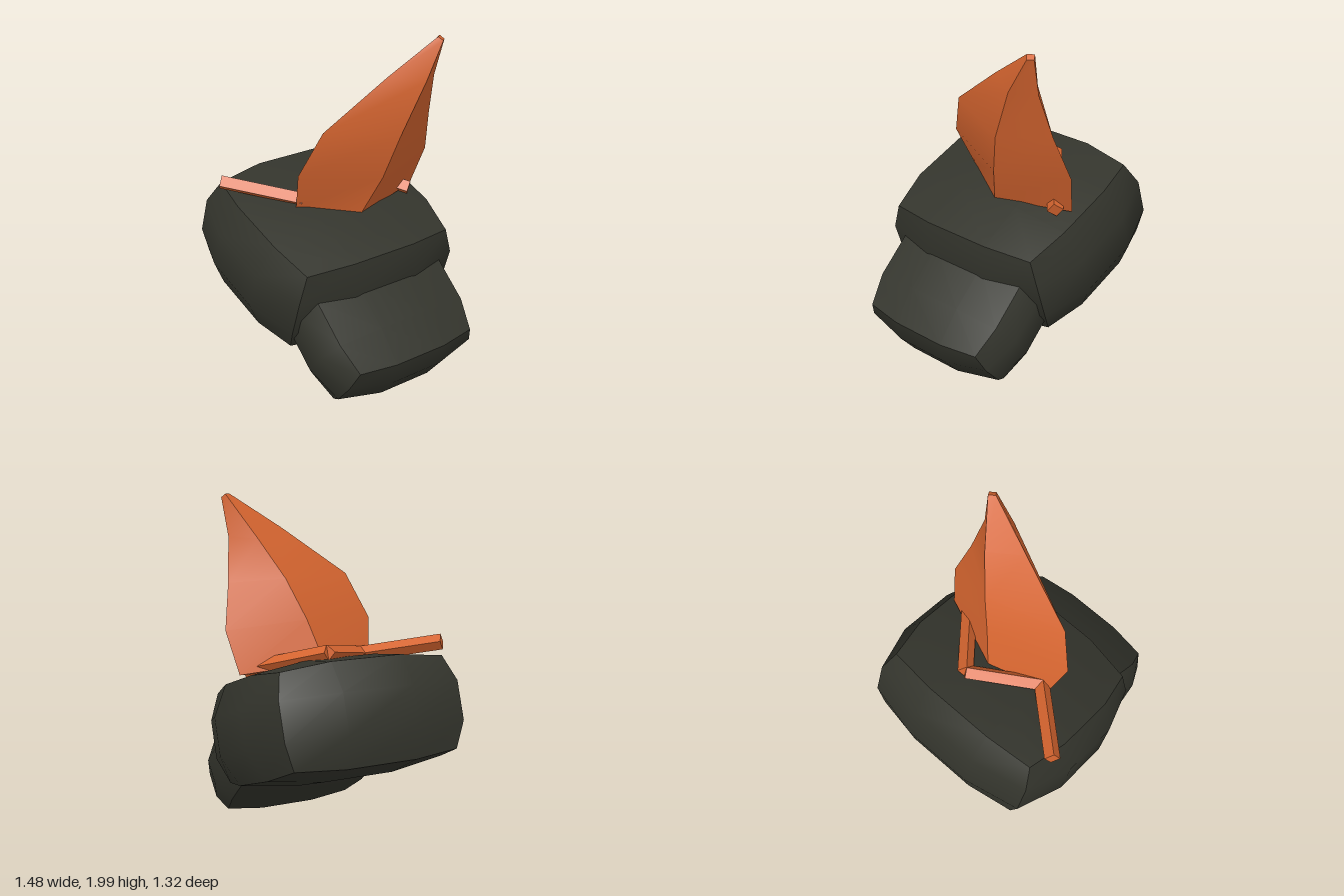
import * as THREE from 'three';

const dark = new THREE.MeshStandardMaterial({ color: 0x33342c });
dark.name = 'charcoal';
const orange = new THREE.MeshStandardMaterial({ color: 0xd4642f });
orange.name = 'burntOrange';

// Box with swollen faces: edges and corners are pulled in towards the centre.
function bulgedBox(name, hx, hy, hz, x, y, tilt) {
  const geo = new THREE.BoxGeometry(2, 2, 2, 3, 3, 3);
  const pos = geo.attributes.position;
  const shrink = [1, 1, 0.855, 0.78];
  for (let i = 0; i < pos.count; i++) {
    const p = [pos.getX(i), pos.getY(i), pos.getZ(i)];
    const k = shrink[p.filter((v) => Math.abs(v) > 0.9).length];
    const q = p.map((v) => (Math.abs(v) > 0.9 ? v * k : v));
    pos.setXYZ(i, q[0] * hx, q[1] * hy, q[2] * hz);
  }
  geo.computeVertexNormals();
  const mesh = new THREE.Mesh(geo, dark);
  mesh.name = name;
  mesh.position.set(x, y, 0);
  mesh.rotation.z = tilt;
  return mesh;
}

// Four-sided curved spike; each level lists its east, north, west and south corner.
function spike() {
  const levels = [
    [[0.12, 0.96, -0.05], [0.0, 0.99, -0.525], [-0.19, 1.06, -0.08], [-0.07, 1.02, 0.28]],
    [[0.22, 1.2, -0.13], [0.08, 1.24, -0.575], [-0.11, 1.3, -0.15], [0.03, 1.26, 0.335]],
    [[0.285, 1.45, -0.2], [0.17, 1.5, -0.515], [-0.02, 1.53, -0.24], [0.12, 1.52, 0.225]],
    [[0.34, 1.77, -0.34], [0.25, 1.76, -0.475], [0.11, 1.75, -0.35], [0.225, 1.8, -0.15]],
    [[0.335, 1.98, -0.46], [0.31, 1.98, -0.49], [0.285, 2.0, -0.475], [0.31, 2.0, -0.44]],
  ];
  const group = new THREE.Group();
  group.name = 'spike';
  const addFace = (name, points, index) => {
    const geo = new THREE.BufferGeometry();
    geo.setAttribute('position', new THREE.Float32BufferAttribute(points.flat(), 3));
    geo.setIndex(index);
    geo.computeVertexNormals();
    const mesh = new THREE.Mesh(geo, orange);
    mesh.name = name;
    group.add(mesh);
  };
  // Sides, smooth along their length and sharp at the corners
  for (let s = 0; s < 4; s++) {
    const points = [];
    const index = [];
    levels.forEach((ring, l) => {
      points.push(ring[s], ring[(s + 1) % 4]);
      const a = l * 2;
      if (l < levels.length - 1) index.push(a, a + 1, a + 3, a, a + 3, a + 2);
    });
    addFace('spikeSide', points, index);
  }
  // End caps
  addFace('spikeTip', levels[4], [0, 1, 2, 0, 2, 3]);
  addFace('spikeBase', levels[0], [0, 2, 1, 0, 3, 2]);
  return group;
}

// Square bar between two points, rolled about its length
function bar(from, to, roll) {
  const a = new THREE.Vector3(...from);
  const b = new THREE.Vector3(...to);
  const mesh = new THREE.Mesh(new THREE.BoxGeometry(0.065, 0.065, a.distanceTo(b)), orange);
  mesh.name = 'zigzagBar';
  mesh.position.copy(a).add(b).multiplyScalar(0.5);
  mesh.lookAt(b);
  mesh.rotateZ(roll);
  return mesh;
}

export function createModel() {
  const model = new THREE.Group();
  model.name = 'model';
  model.add(bulgedBox('body', 0.578, 0.345, 0.66, -0.16, 0.7, -0.326));
  model.add(bulgedBox('lowerBlock', 0.42, 0.235, 0.53, 0.333, 0.397, -0.722));
  model.add(spike());

  // Zigzag lying on top of the body
  const zigzag = new THREE.Group();
  zigzag.name = 'zigzag';
  const frontTip = [-0.39, 1.155, 0.585];
  const frontBend = [-0.07, 1.06, 0.23];
  const backBend = [-0.325, 1.14, -0.13];
  const backTip = [0.07, 1.005, -0.46];
  zigzag.add(bar(frontBend, frontTip, 0.6));
  zigzag.add(bar(backBend, frontBend, 0.6));
  zigzag.add(bar(backBend, backTip, -0.6));
  model.add(zigzag);
  return model;
}
